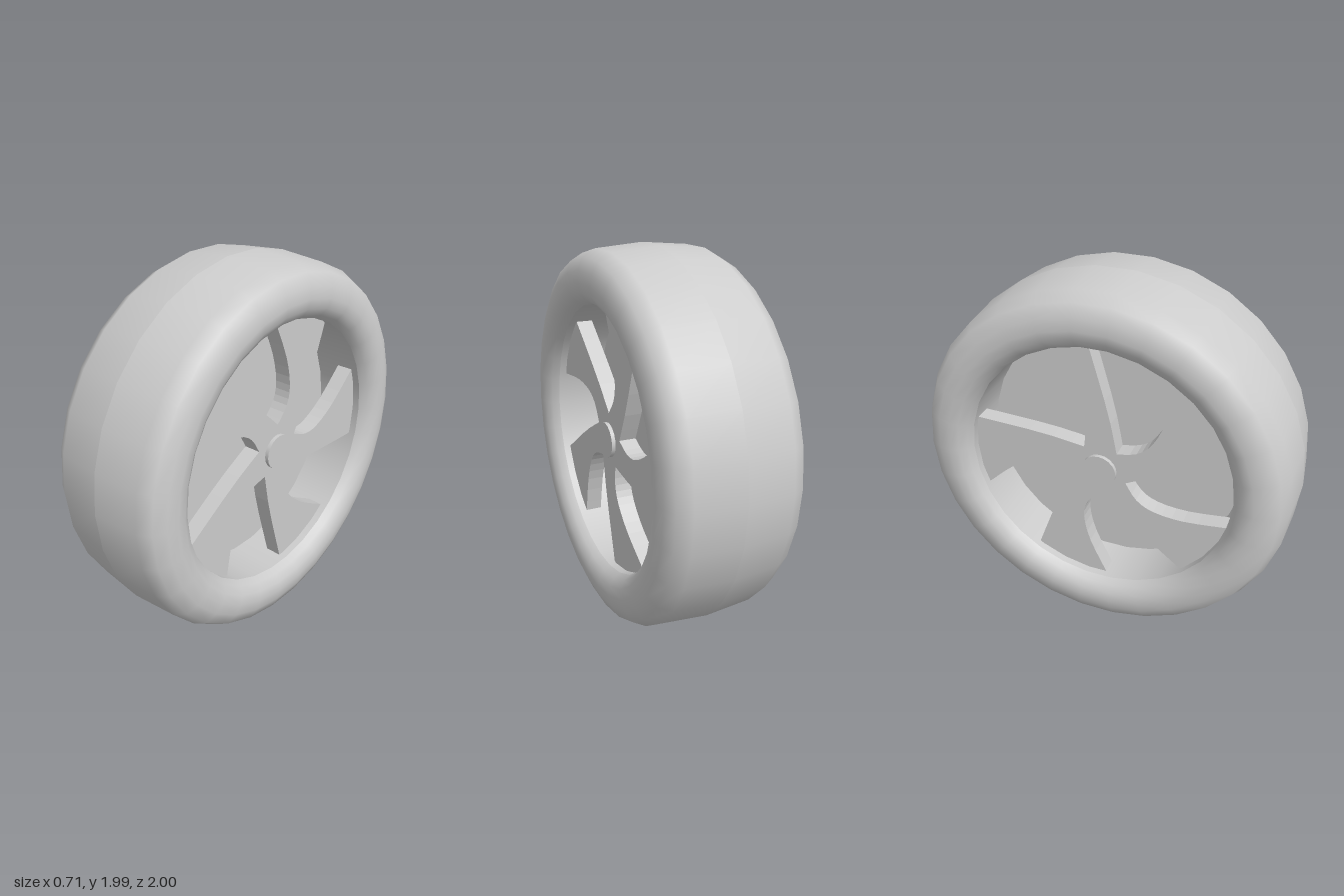
import * as THREE from 'three';

const SIDES = 30;
const RIM = 0.71;

const grey = new THREE.MeshStandardMaterial({ color: 0xcccccc });
grey.name = 'light grey';

function part(name, geometry, parent) {
  const mesh = new THREE.Mesh(geometry, grey);
  mesh.name = name;
  parent.add(mesh);
  return mesh;
}

const lathe = (pairs) =>
  new THREE.LatheGeometry(pairs.map(([r, h]) => new THREE.Vector2(r, h)), SIDES);

// Five swept spokes: a disc with five curved notches reaching the rim
function spokeShape() {
  const curvedEdge = new THREE.SplineCurve(
    [[-0.032, 0.71], [0.062, 0.5], [0.096, 0.34], [0.075, 0.235], [0.005, 0.15]]
      .map(([x, y]) => new THREE.Vector2(x, y))).getPoints(12);
  const straightEdge = new THREE.SplineCurve(
    [[0.005, 0.15], [-0.166, 0.31], [-0.46, 0.545]]
      .map(([x, y]) => new THREE.Vector2(x, y))).getPoints(5).slice(1);
  const start = THREE.MathUtils.degToRad(130);
  const end = THREE.MathUtils.degToRad(164.6);
  const arc = [];
  for (let i = 1; i < 6; i++) {
    const a = start + (end - start) * i / 6;
    arc.push(new THREE.Vector2(Math.cos(a) * RIM, Math.sin(a) * RIM));
  }
  const outline = [];
  const centre = new THREE.Vector2();
  for (let k = 0; k < 5; k++) {
    for (const p of [...curvedEdge, ...straightEdge, ...arc]) {
      outline.push(p.clone().rotateAround(centre, k * Math.PI * 2 / 5));
    }
  }
  return new THREE.Shape(outline);
}

// One half of the wheel, facing +x
function wheelHalf(name) {
  const half = new THREE.Group();
  half.name = name;

  // Tread, shoulder and rounded sidewall
  const tyre = part('tyreHalf', lathe([
    [1, 0], [0.98, 0.25], [0.942, 0.318], [0.88, 0.346], [0.82, 0.355],
    [0.77, 0.345], [0.73, 0.317], [RIM, 0.28],
  ]), half);
  tyre.rotation.z = -Math.PI / 2;

  // Inner wall of the rim
  const barrel = part('rimBarrel', lathe([[RIM, 0.28], [RIM, 0]]), half);
  barrel.rotation.z = -Math.PI / 2;

  const spokes = part('spokes', new THREE.ExtrudeGeometry(spokeShape(), {
    depth: 0.09, bevelEnabled: false,
  }), half);
  spokes.rotation.y = Math.PI / 2;
  spokes.position.x = 0.15;

  const cap = part('hubCap', new THREE.CylinderGeometry(0.093, 0.093, 0.03, 20), half);
  cap.rotation.z = -Math.PI / 2;
  cap.position.x = 0.245;
  return half;
}

export function createModel() {
  const wheel = new THREE.Group();
  wheel.name = 'wheel';

  const leftHalf = wheelHalf('leftHalf');
  const rightHalf = wheelHalf('rightHalf');
  rightHalf.rotation.z = Math.PI;
  wheel.add(leftHalf, rightHalf);

  // Closed plate in the middle of the rim
  const plate = part('centrePlate', new THREE.CylinderGeometry(RIM, RIM, 0.02, SIDES), wheel);
  plate.rotation.z = -Math.PI / 2;

  wheel.position.y = 0.997;
  const model = new THREE.Group();
  model.name = 'model';
  model.add(wheel);
  return model;
}
